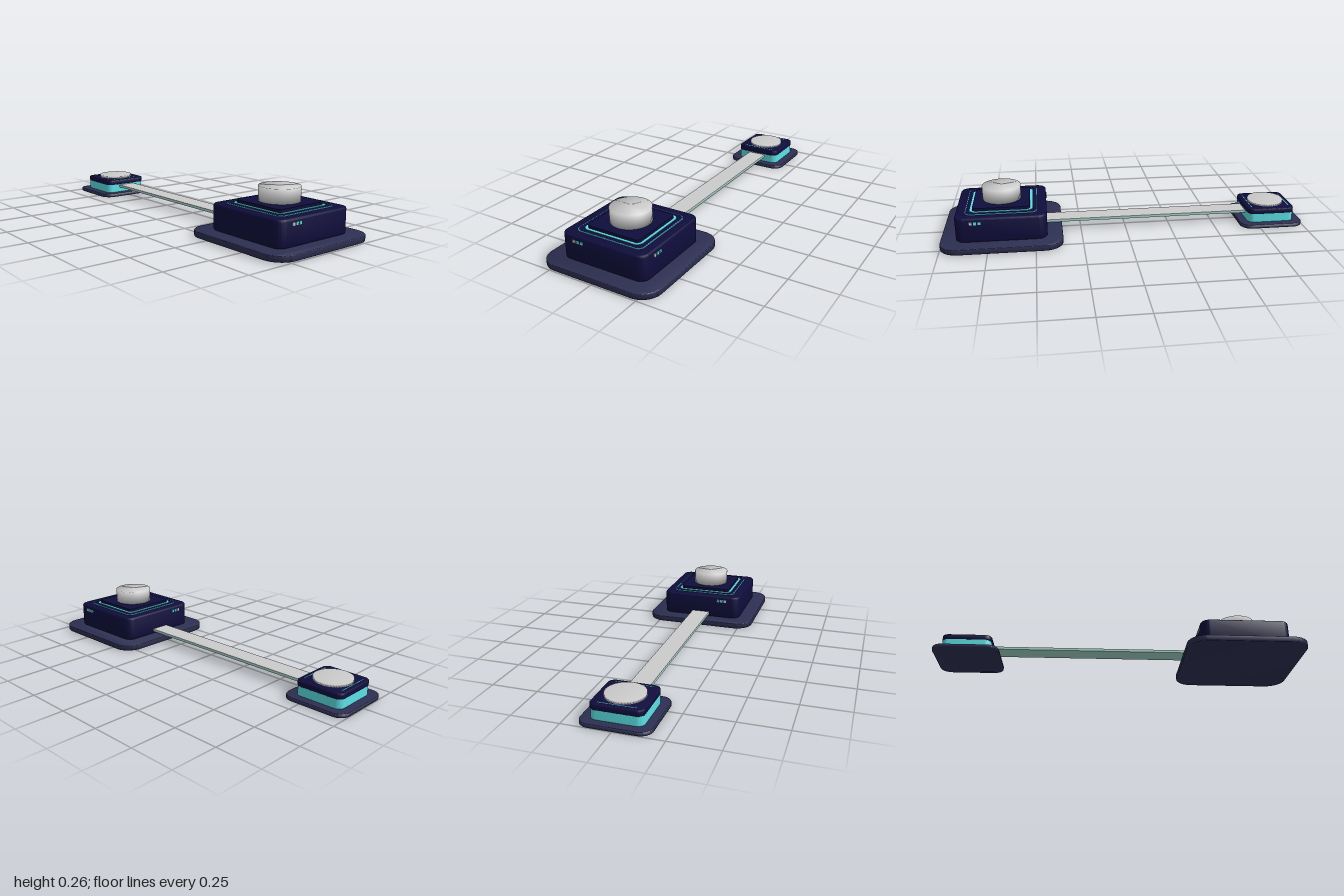
import * as THREE from 'three';
import { toCreasedNormals } from 'three/addons/utils/BufferGeometryUtils.js';

const mat = (color) => new THREE.MeshStandardMaterial({ color });
const GREY = mat(0xcccccc), NAVY = mat(0x0f0d3c), SLATE = mat(0x2d2f52);
const CYAN = mat(0x5ce1e6), MINT = mat(0xa5d8cd);

function add(parent, name, geometry, material, x = 0, y = 0, z = 0) {
  const mesh = new THREE.Mesh(geometry, material);
  mesh.name = name;
  mesh.position.set(x, y, z);
  parent.add(mesh);
  return mesh;
}

// Square outline with rounded corners, h = half width
function roundedSquare(h, r, Type = THREE.Shape) {
  const s = new Type();
  const c = h - r;
  s.absarc(c, c, r, 0, Math.PI / 2);
  s.absarc(-c, c, r, Math.PI / 2, Math.PI);
  s.absarc(-c, -c, r, Math.PI, Math.PI * 1.5);
  s.absarc(c, -c, r, Math.PI * 1.5, Math.PI * 2);
  s.closePath();
  return s;
}

// Rounded slab standing on its own y = 0; inner > 0 cuts a square hole
function slab(h, height, r, bevel = 0, { inner = 0, crease = 0.7 } = {}) {
  const shape = roundedSquare(h - bevel, Math.max(r - bevel, 0.004));
  if (inner) shape.holes.push(roundedSquare(inner, Math.max(r - (h - inner), 0.004), THREE.Path));
  const g = new THREE.ExtrudeGeometry(shape, {
    depth: height - 2 * bevel, bevelEnabled: bevel > 0, bevelThickness: bevel,
    bevelSize: bevel, bevelSegments: 3, curveSegments: 10,
  });
  g.translate(0, 0, bevel);
  g.rotateX(-Math.PI / 2);
  return toCreasedNormals(g, crease);
}

// Round cap with soft normals running over its rim
function knob(radius, height) {
  const points = [[0, 0], [radius, 0], [radius, height], [0, height]];
  return new THREE.LatheGeometry(points.map(([x, y]) => new THREE.Vector2(x, y)), 48);
}

function mainUnit() {
  const g = new THREE.Group();
  g.name = 'mainUnit';
  add(g, 'basePlate', slab(0.322, 0.032, 0.1, 0.004, { crease: 2 }), SLATE, 0, 0.003);
  add(g, 'housing', slab(0.24, 0.134, 0.05, 0.01), NAVY, 0, 0.034);
  add(g, 'outerTrim', slab(0.19, 0.005, 0.035, 0, { inner: 0.186 }), CYAN, 0, 0.167);
  add(g, 'topStep', slab(0.186, 0.005, 0.031), NAVY, 0, 0.167);
  add(g, 'lightRing', slab(0.165, 0.003, 0.032, 0, { inner: 0.15 }), CYAN, 0, 0.171);
  add(g, 'topPlate', slab(0.151, 0.02, 0.02), NAVY, 0, 0.169);
  add(g, 'knob', knob(0.104, 0.075), GREY, 0, 0.188);

  // Rows of three indicators on both sides and the back
  const led = new THREE.BoxGeometry(0.015, 0.015, 0.015);
  [0.154, 0.132, 0.11].forEach((t, i) => {
    const material = i === 0 ? GREY : CYAN;
    add(g, 'rightIndicator', led, material, 0.235, 0.142, t);
    add(g, 'leftIndicator', led, material, -0.237, 0.142, t);
    add(g, 'backIndicator', led, material, t, 0.142, -0.238);
  });
  return g;
}

function smallUnit() {
  const g = new THREE.Group();
  g.name = 'smallUnit';
  add(g, 'basePlate', slab(0.177, 0.02, 0.06, 0.003, { crease: 2 }), SLATE);
  add(g, 'lightBand', slab(0.131, 0.05, 0.035), CYAN, 0, 0.019);
  add(g, 'cap', slab(0.133, 0.032, 0.037, 0.007), NAVY, 0, 0.066);
  for (const s of [-1, 1]) {
    add(g, 'trimLine', new THREE.BoxGeometry(0.004, 0.003, 0.19), CYAN, s * 0.108, 0.098);
  }
  add(g, 'knob', knob(0.1, 0.015), GREY, 0, 0.097);
  return g;
}

export function createModel() {
  const model = new THREE.Group();
  model.name = 'connectedSensors';

  const main = mainUnit();
  main.position.x = 0.677;
  const small = smallUnit();
  small.position.x = -0.823;
  model.add(main, small);

  // Flat two-layer strap joining the units
  add(model, 'strapCore', new THREE.BoxGeometry(1.14, 0.012, 0.106), MINT, -0.13, 0.055);
  add(model, 'strapTop', new THREE.BoxGeometry(1.14, 0.003, 0.106), GREY, -0.13, 0.0625);
  return model;
}
